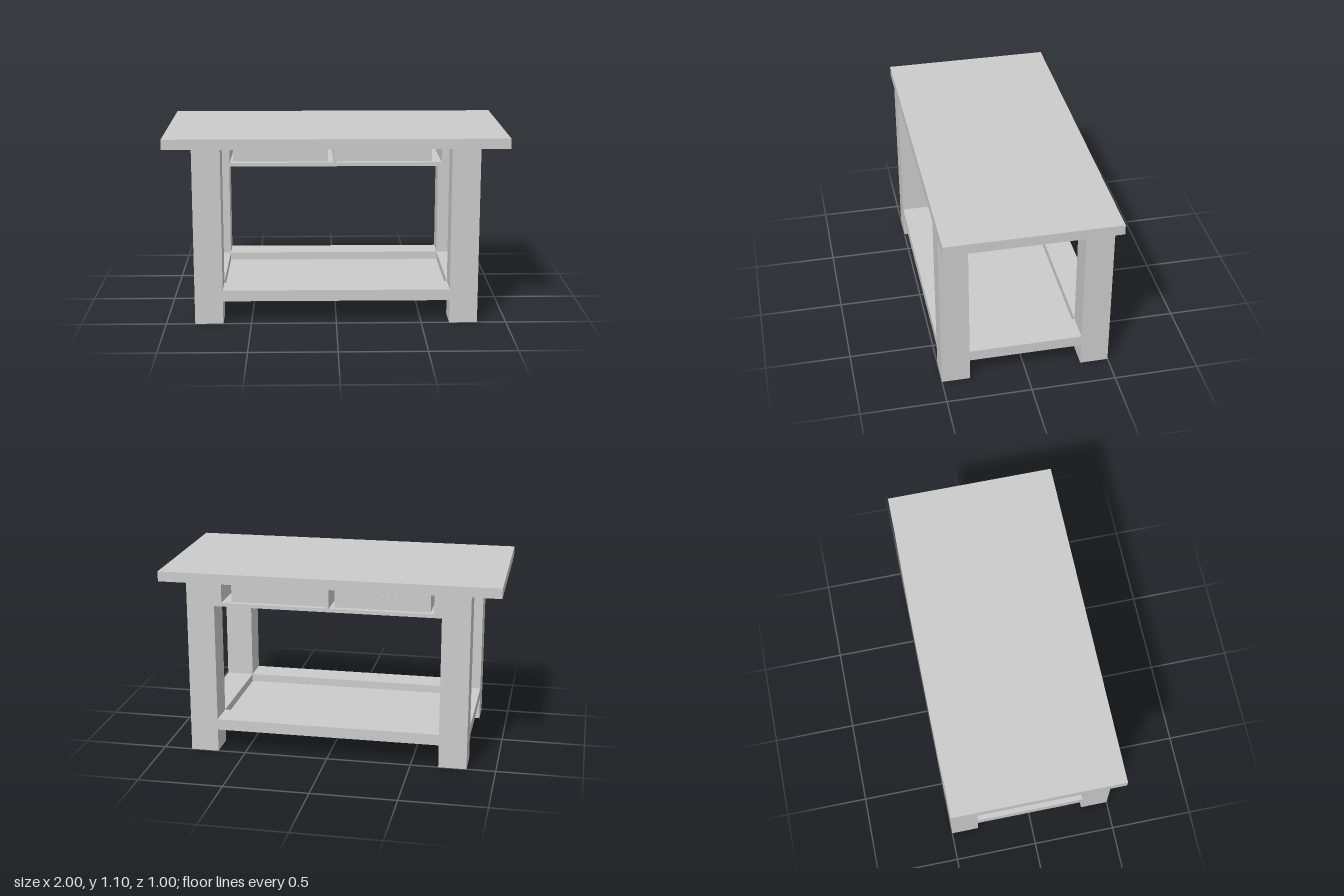
import * as THREE from 'three';

const wood = new THREE.MeshStandardMaterial({ color: 0xcccccc });
const paleWood = new THREE.MeshStandardMaterial({ color: 0xe6e6e6 });

export function createModel() {
  const table = new THREE.Group();
  table.name = 'table';

  // Box given by its [min, max] range on each axis
  const box = (name, [x0, x1], [y0, y1], [z0, z1], material = wood) => {
    const mesh = new THREE.Mesh(new THREE.BoxGeometry(x1 - x0, y1 - y0, z1 - z0), material);
    mesh.position.set((x0 + x1) / 2, (y0 + y1) / 2, (z0 + z1) / 2);
    mesh.name = name;
    table.add(mesh);
  };
  // Range from a to b, mirrored when side is -1
  const span = (side, a, b) => (side > 0 ? [a, b] : [-b, -a]);

  const topY = 1.04, outX = 0.83, inX = 0.665, outZ = 0.5, inZ = 0.333;
  const railY = [0.137, 0.203];

  box('tabletop', [-1, 1], [topY, 1.1], [-outZ, outZ]);

  for (const side of [-1, 1]) {
    // Square legs
    for (const end of [-1, 1]) {
      box('leg', span(side, inX, outX), [0, topY], span(end, inZ, outZ));
    }
    // Lower frame, flush with the outside of the legs
    box('lowerSideRail', span(side, inX, outX), railY, [-inZ, inZ]);
    box('lowerLongRail', [-inX, inX], railY, span(side, inZ, outZ));
    // Drawer case sides
    box('drawerCaseSide', span(side, 0.62, inX), [0.93, topY], [-outZ, inZ]);
  }

  // Shelf sunk into the lower frame
  box('shelf', [-inX, inX], [0.137, 0.155], [-inZ, inZ]);

  // Drawer case, flush at the back and set back at the front
  box('drawerCaseFloor', [-inX, inX], [0.908, 0.93], [-outZ, inZ]);
  box('drawerDivider', [-0.015, 0.008], [0.93, topY], [-outZ, inZ]);

  // Two loose drawers with gaps beside them
  for (const x of [-0.6, 0.008]) {
    box('drawer', [x, x + 0.555], [0.935, 1.035], [-0.485, 0.32], paleWood);
  }

  return table;
}
